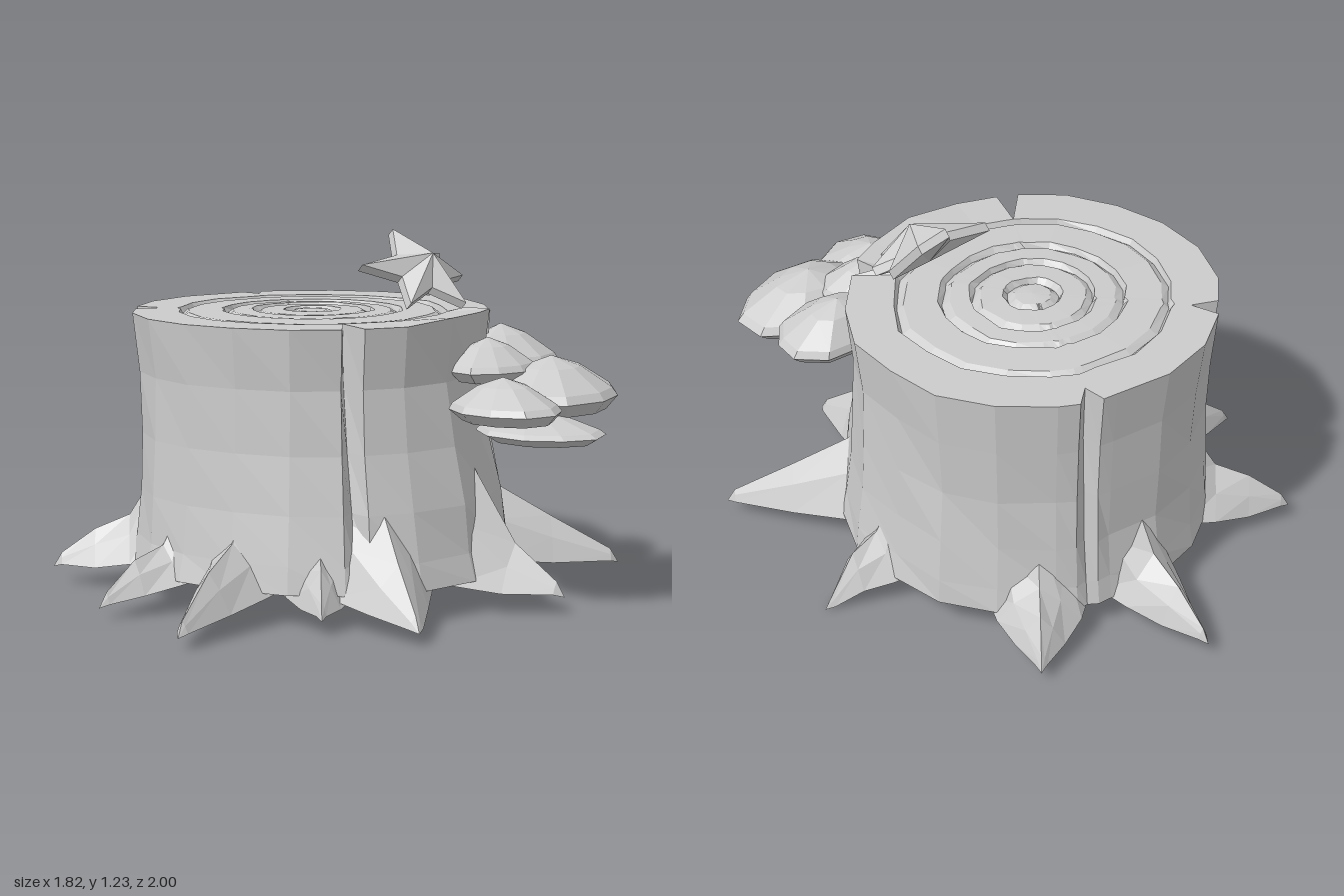
import * as THREE from 'three';

const wood = new THREE.MeshStandardMaterial({ color: 0xcccccc });
wood.name = 'pale grey';

const V = (x, y, z) => new THREE.Vector3(x, y, z);
const CX = 0.067, CZ = -0.083;              // trunk axis
const rad = THREE.MathUtils.degToRad;

let seed = 7;
const jitter = (amount) => {
  seed = (seed * 16807) % 2147483647;
  return (seed / 2147483647 - 0.5) * 2 * amount;
};

// Faceted mesh, one normal per face
function faceted(name, geometry) {
  const g = geometry.index ? geometry.toNonIndexed() : geometry;
  g.computeVertexNormals();
  const mesh = new THREE.Mesh(g, wood);
  mesh.name = name;
  return mesh;
}

// Skin stretched over a list of closed loops
function loft(name, rows) {
  const pts = [];
  const n = rows[0].length;
  const tri = (a, b, c) => {
    const area = b.clone().sub(a).cross(c.clone().sub(a)).length();
    if (area > 1e-9) pts.push(a, b, c);
  };
  for (let i = 0; i < rows.length - 1; i++) {
    for (let j = 0; j < n; j++) {
      const k = (j + 1) % n;
      tri(rows[i][j], rows[i + 1][k], rows[i][k]);
      tri(rows[i][j], rows[i + 1][j], rows[i + 1][k]);
    }
  }
  return faceted(name, new THREE.BufferGeometry().setFromPoints(pts));
}

// Cracks in the rim: angle, depth, how far down they run
const cracks = [
  { a: 58, depth: 0.09, reach: 0.3 },
  { a: 125, depth: 0.16, reach: 0.0 },
  { a: 232, depth: 0.1, reach: 0.6 },
  { a: 296, depth: 0.08, reach: 0.0 },
];

function trunkColumns() {
  const cols = [];
  for (let a = 0; a < 360; a += 18) {
    if (cracks.every((c) => Math.abs(c.a - a) > 7)) cols.push({ a });
  }
  for (const c of cracks) {
    cols.push({ a: c.a - 3.5 }, { a: c.a, crack: c }, { a: c.a + 3.5 });
  }
  cols.sort((p, q) => p.a - q.a);
  cols.forEach((c) => { c.wobble = jitter(0.009); });
  return cols;
}

function ring(cols, y, r, flare = 0, cracked = false, rough = 0) {
  return cols.map((c) => {
    const t = rad(c.a), s = Math.sin(t);
    let d = r;
    if (r > 0) d += flare * (s > 0 ? s * s : s * 0.4) + c.wobble * (r / 0.62) + jitter(rough);
    if (cracked && c.crack) {
      d -= c.crack.depth * THREE.MathUtils.clamp((y - c.crack.reach) / (0.96 - c.crack.reach), 0, 1);
    }
    const lift = cracked && y > 0.9 && c.a > 55 && c.a < 95 ? 0.015 : 0;
    return V(CX + d * Math.cos(t) * 1.01, y + lift, CZ + d * s * 0.985);
  });
}

// Tapering root with a ridge, from inside the trunk to its tip
function root([tx, ty, tz], height, width) {
  const tip = V(tx, 0, tz), axis = V(CX, 0, CZ);
  const reach = tip.distanceTo(axis);
  const dir = tip.clone().sub(axis).normalize();
  const side = V(dir.z, 0, -dir.x);
  const foot = 0.64, knee = Math.min(height, 0.34);
  const sections = [
    [0.53, 0.115, height + 0.15, width * 1.25],
    [foot, 0.095, height * 0.9, width],
    [foot + (reach - foot) * 0.45, 0.07, 0.08 + knee * 0.42, width * 0.58],
    [reach - 0.03, ty + 0.01, ty + 0.05, width * 0.15],
    [reach, ty, ty, 0],
  ];
  const rows = sections.map(([d, low, high, w]) =>
    [[-1, 0], [-0.6, 0.55], [0, 1], [0.5, 0.6], [1, 0]].map(([u, v]) =>
      axis.clone().addScaledVector(dir, d).addScaledVector(side, u * w)
        .setY(low + (high - low) * v)));
  return loft('root', rows);
}

// Shelf mushroom cap: a low dome whose peak leans towards the trunk
function cap(x, y, z, rx, h, rz, lean) {
  const profile = [[0, 0.12], [0.8, 0], [1, 0.25], [0.92, 0.4], [0.45, 0.8], [0, 1]]
    .map(([r, v]) => new THREE.Vector2(r, v * h));
  const g = new THREE.LatheGeometry(profile, 10);
  const p = g.attributes.position;
  for (let i = 0; i < p.count; i++) {
    const t = Math.atan2(p.getZ(i), p.getX(i));
    const k = 1 + 0.05 * Math.sin(3 * t + x * 20);
    p.setXYZ(i, x + p.getX(i) * rx * k, y + p.getY(i),
      z + p.getZ(i) * rz * k - lean * p.getY(i) / h);
  }
  return faceted('mushroomCap', g);
}

// Thick, ridged star-shaped leaf leaning back on the stump
function starLeaf() {
  const centre = V(0.28, 1.1, 0.225), normal = V(0, 0.75, 0.66);
  const tips = [
    V(0.29, 1.22, 0.08), V(0.49, 1.125, 0.13), V(0.455, 1.06, 0.26),
    V(0.31, 0.985, 0.39), V(0.125, 0.99, 0.3), V(0.06, 1.115, 0.14),
  ];
  const outline = tips.flatMap((p, i) => {
    const next = tips[(i + 1) % tips.length];
    return [p, p.clone().add(next).multiplyScalar(0.5).lerp(centre, 0.42)];
  });
  const shift = (pts, d) => pts.map((p) => p.clone().addScaledVector(normal, d));
  const hub = outline.map(() => centre);
  return loft('starLeaf', [
    shift(hub, -0.06), shift(outline, -0.015), shift(outline, 0.015), shift(hub, 0.08)]);
}

export function createModel() {
  const model = new THREE.Group();
  model.name = 'treeStump';
  const cols = trunkColumns();

  // Underside and bark
  const rim = ring(cols, 0.96, 0.622, 0, true);
  const bark = [[0.11, 0.65, 0.08], [0.2, 0.635, 0.07], [0.36, 0.618, 0.06], [0.55, 0.602, 0.03], [0.76, 0.602, 0]]
    .map(([y, r, f]) => ring(cols, y, r, f, true, 0.006));
  model.add(loft('trunk', [ring(cols, 0.11, 0), ...bark, rim]));

  // Cut face with sunken growth rings
  const face = [rim];
  for (const r of [0.455, 0.3, 0.2, 0.085]) {
    face.push(ring(cols, 0.96, r + 0.012, 0, false, 0.006));
    face.push(ring(cols, 0.94, r, 0, false, 0.004));
    face.push(ring(cols, 0.957, r - 0.025, 0, false, 0.004));
  }
  face.push(ring(cols, 0.962, 0));
  model.add(loft('cutFace', face));

  // Roots: tip, ridge height, half width
  const roots = [
    [[0.15, 0.06, -1.0], 0.29, 0.12],
    [[-0.58, 0.06, -0.72], 0.27, 0.14],
    [[0.63, 0.05, -0.71], 0.26, 0.14],
    [[-0.82, 0.04, -0.22], 0.24, 0.1],
    [[-0.91, 0.04, 0.24], 0.29, 0.13],
    [[0.91, 0.0, 0.05], 0.27, 0.11],
    [[0.83, 0.05, 0.69], 0.38, 0.15],
    [[0.25, 0.06, 0.87], 0.5, 0.18],
    [[-0.37, 0.04, 0.76], 0.42, 0.18],
    [[-0.49, 0.05, 0.46], 0.28, 0.11],
  ];
  const rootGroup = new THREE.Group();
  rootGroup.name = 'roots';
  roots.forEach((r) => rootGroup.add(root(...r)));
  model.add(rootGroup);

  // Mushroom cluster on the front: centre, half width, height, half depth, lean
  const mushrooms = new THREE.Group();
  mushrooms.name = 'mushrooms';
  [
    [0.095, 0.655, 0.75, 0.18, 0.14, 0.185, 0.03],
    [0.395, 0.655, 0.715, 0.265, 0.18, 0.2, 0.02],
    [0.225, 0.58, 0.775, 0.18, 0.1, 0.23, 0.03],
    [0.26, 0.755, 0.55, 0.17, 0.14, 0.14, 0.02],
    [0.505, 0.74, 0.43, 0.225, 0.17, 0.16, 0.03],
  ].forEach((c) => mushrooms.add(cap(...c)));
  model.add(mushrooms);

  model.add(starLeaf());
  return model;
}
